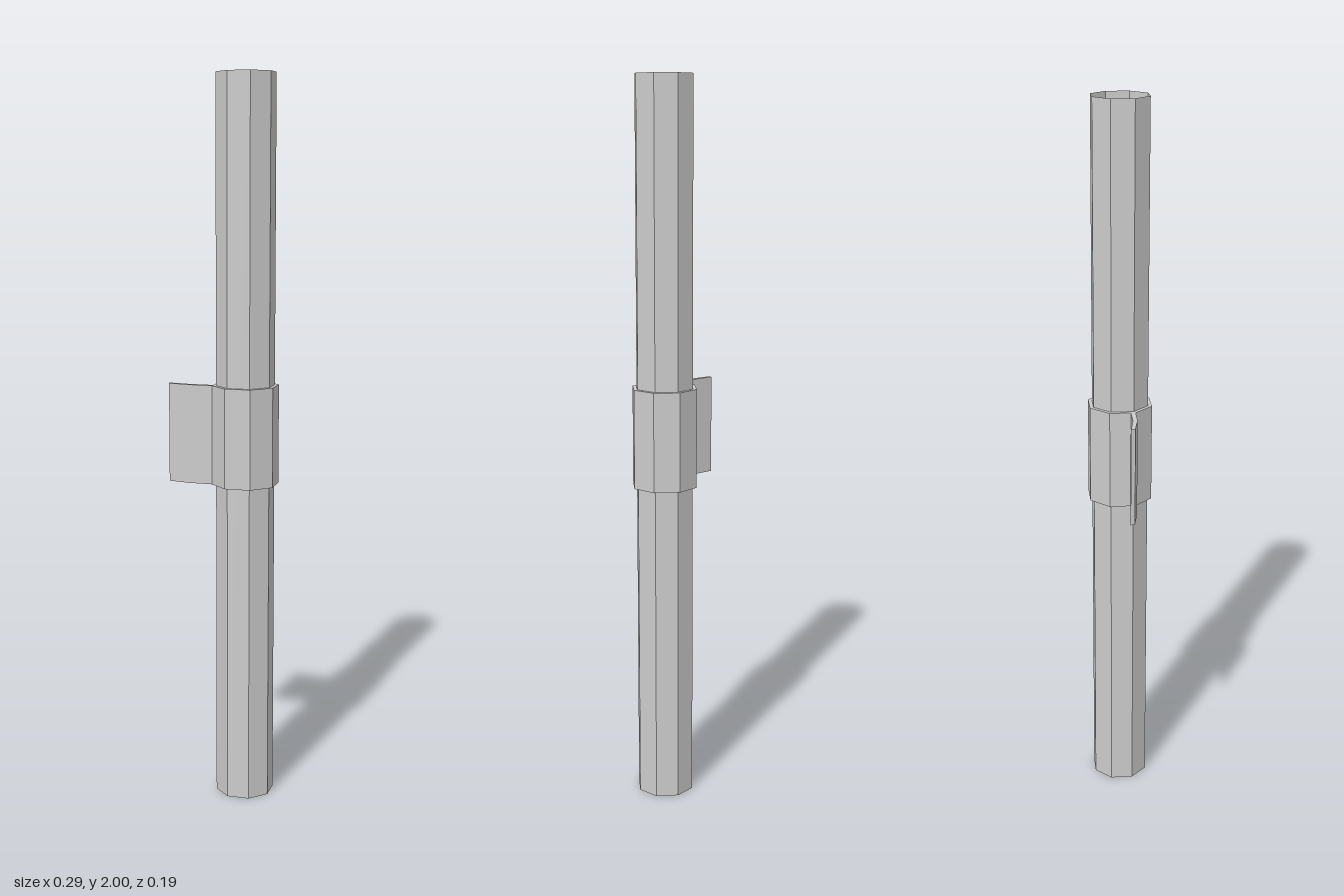
import * as THREE from 'three';

const CX = 0.05, CZ = -0.005;    // axis of the pole
const BAND_TOP = 1.17, BAND_HEIGHT = 0.275;

// Corners of an octagon around the pole axis, in plan (x, z)
function octagon(radius) {
  return Array.from({ length: 8 }, (_, i) => {
    const a = (i * Math.PI) / 4;
    return new THREE.Vector2(CX + radius * Math.cos(a), CZ + radius * Math.sin(a));
  });
}

export function createModel() {
  const group = new THREE.Group();
  const material = new THREE.MeshStandardMaterial({
    color: 0xcccccc, flatShading: true, side: THREE.DoubleSide,
  });

  // Open-ended eight-sided pole
  const pole = new THREE.Mesh(new THREE.CylinderGeometry(0.081, 0.081, 2, 8, 1, true), material);
  pole.name = 'pole';
  pole.position.set(CX, 1, CZ);
  group.add(pole);

  // Band around the pole, with a bent flap growing out of one corner
  const outline = octagon(0.0925);
  const flap = [[-0.074, 0.083], [-0.138, 0.096], [-0.145, 0.086], [-0.081, 0.072], [-0.0205, 0.048]];
  outline.splice(4, 0, ...flap.map(([x, z]) => new THREE.Vector2(x, z)));
  const shape = new THREE.Shape(outline);
  shape.holes.push(new THREE.Path(octagon(0.0815)));
  const bandGeometry = new THREE.ExtrudeGeometry(shape, { depth: BAND_HEIGHT, bevelEnabled: false });
  bandGeometry.rotateX(Math.PI / 2);   // plan y becomes z, depth runs downwards
  const band = new THREE.Mesh(bandGeometry, material);
  band.name = 'bandWithFlap';
  band.position.y = BAND_TOP;
  group.add(band);

  return group;
}
